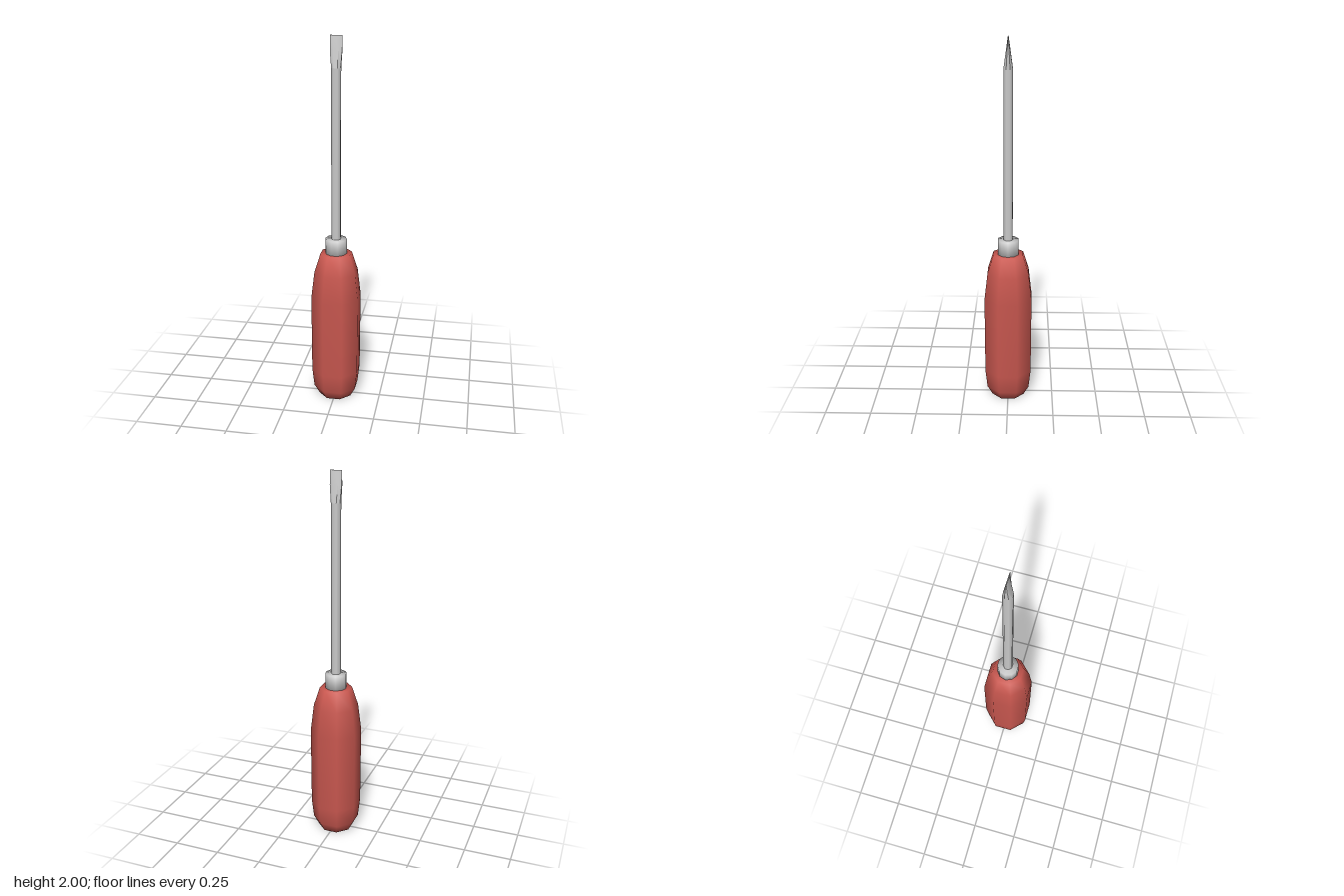
import * as THREE from 'three';
import { toCreasedNormals } from 'three/addons/utils/BufferGeometryUtils.js';

const grey = new THREE.MeshStandardMaterial({ color: 0xcccccc });
const red = new THREE.MeshStandardMaterial({ color: 0xc8574f });

// Smooth-shaded faceted solid from a [radius, height] profile, bottom to top
function turned(name, profile, sides, start, material) {
  const points = profile.map(([r, y]) => new THREE.Vector2(r, y));
  const mesh = new THREE.Mesh(new THREE.LatheGeometry(points, sides, start), material);
  mesh.name = name;
  return mesh;
}

export function createModel() {
  const model = new THREE.Group();
  model.name = 'screwdriver';
  const octagon = 1 / Math.cos(Math.PI / 8); // flat-to-centre distance -> corner radius
  const flats = (list) => list.map(([r, y]) => [r * octagon, y]);

  // Octagonal grip, flats facing the axes
  model.add(turned('handle', flats([
    [0, 0], [0.088, 0], [0.116, 0.055], [0.127, 0.16], [0.128, 0.6],
    [0.111, 0.75], [0.08, 0.853], [0, 0.853],
  ]), 8, Math.PI / 8, red));

  // Ten-sided metal collar
  model.add(turned('collar', [
    [0, 0.84], [0.058, 0.84], [0.058, 0.934], [0, 0.934],
  ], 10, Math.PI / 2, grey));

  // Slim octagonal shaft
  model.add(turned('shaft', flats([[0.024, 0.92], [0.024, 1.84]]), 8, Math.PI / 8, grey));

  // Blade: the shaft section flared in x and thinned to an edge in z
  const blade = turned('blade', flats([
    [0.024, 1.84], [0.024, 1.93], [0.024, 2], [0, 2],
  ]), 8, Math.PI / 8, grey);
  const pos = blade.geometry.attributes.position;
  for (let i = 0; i < pos.count; i++) {
    const t = (pos.getY(i) - 1.84) / 0.16;
    const flare = 1 + 0.3 * Math.min(1, t / 0.56);
    pos.setX(i, pos.getX(i) * flare);
    pos.setZ(i, pos.getZ(i) * (1 - 0.92 * t));
  }
  blade.geometry = toCreasedNormals(blade.geometry, 0.6);
  model.add(blade);

  return model;
}
